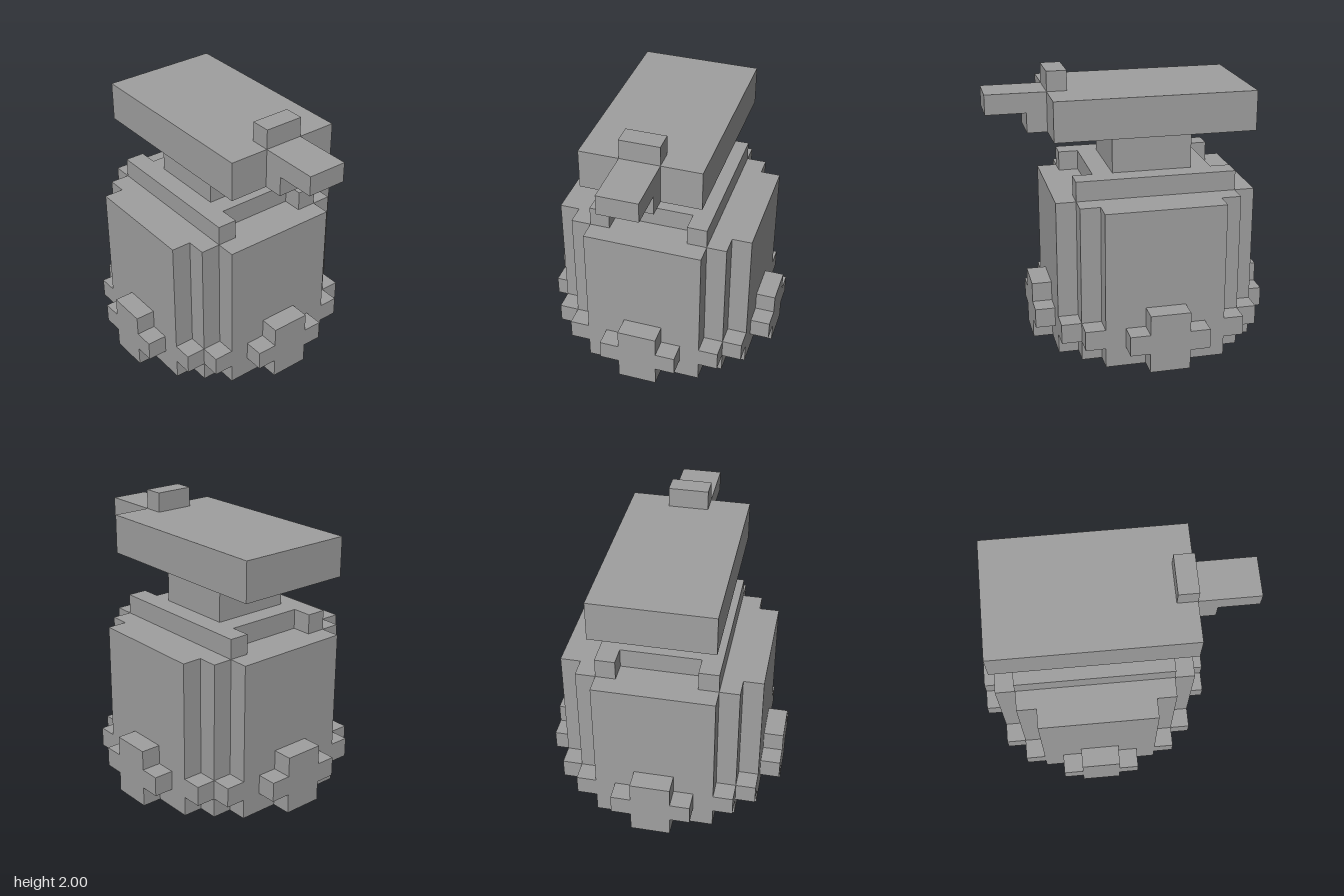
import * as THREE from 'three';

const U = 1 / 7; // one block

export function createModel() {
  const model = new THREE.Group();
  const grey = new THREE.MeshStandardMaterial({ color: 0xa0a0a0 });
  grey.name = 'grey';

  // Box from min/max corners in blocks, measured from the body axis at x = -1
  const box = (parent, name, x0, x1, y0, y1, z0, z1) => {
    const m = new THREE.Mesh(new THREE.BoxGeometry((x1 - x0) * U, (y1 - y0) * U, (z1 - z0) * U), grey);
    m.name = name;
    m.position.set(((x0 + x1) / 2 - 1) * U, ((y0 + y1) / 2) * U, (z0 + z1) / 2 * U);
    parent.add(m);
    return m;
  };
  const group = (name) => {
    const g = new THREE.Group();
    g.name = name;
    model.add(g);
    return g;
  };

  // Bottle body with stepped corners
  const corner = [[5, 3], [4, 3], [4, 4], [3, 4], [3, 5]];
  const outline = [
    ...corner,
    ...corner.map(([x, z]) => [-x, z]).reverse(),
    ...corner.map(([x, z]) => [-x, -z]),
    ...corner.map(([x, z]) => [x, -z]).reverse(),
  ].map(([x, z]) => new THREE.Vector2(x * U, z * U));
  const bodyGeo = new THREE.ExtrudeGeometry(new THREE.Shape(outline), { depth: 7 * U, bevelEnabled: false });
  bodyGeo.rotateX(-Math.PI / 2);
  const body = new THREE.Mesh(bodyGeo, grey);
  body.name = 'body';
  body.position.set(-U, U, 0);
  model.add(body);

  // Hollow base rim, corner studs and raised crosses
  const rim = group('baseRim');
  const studs = group('cornerStuds');
  const crosses = group('crosses');
  for (const s of [-1, 1]) {
    const [a, b] = s > 0 ? [4, 5] : [-5, -4];
    box(rim, 'rimWall', -3, 3, 0, 1, a, b);
    box(rim, 'rimWall', a, b, 0, 1, -3, 3);

    const [c, d] = s > 0 ? [5, 6] : [-6, -5];
    box(crosses, 'crossUpright', -1, 1, 0, 3, c, d);
    box(crosses, 'crossUpright', c, d, 0, 3, -1, 1);
    for (const [e, f] of [[-2, -1], [1, 2]]) {
      box(crosses, 'crossArm', e, f, 1, 2, c, d);
      box(crosses, 'crossArm', c, d, 1, 2, e, f);
    }

    for (const [e, f] of [[-4, -3], [3, 4]]) {
      box(rim, 'rimPost', e, f, 0, 1, s > 0 ? 3 : -4, s > 0 ? 4 : -3);
      box(studs, 'stud', e, f, 1, 2, a, b);
      box(studs, 'stud', a, b, 1, 2, e, f);
    }
  }

  // Shoulder: plate with a longer bar along front and back
  const shoulder = group('shoulder');
  box(shoulder, 'shoulderPlate', -3, 3, 8, 9, -2, 2);
  box(shoulder, 'shoulderBar', -4, 4, 8, 9, 2, 3);
  box(shoulder, 'shoulderBar', -4, 4, 8, 9, -3, -2);

  box(model, 'neck', -2, 2, 9, 11, -2, 2);

  // Pump head with spout
  const head = group('head');
  box(head, 'headBlock', -5, 5, 11, 13, -3, 3);
  box(head, 'topKnob', 4, 5, 13, 14, -1, 1);
  box(head, 'spout', 5, 8, 12, 13, -1, 1);
  box(head, 'spoutSupport', 5, 6, 11, 12, -1, 1);

  return model;
}
